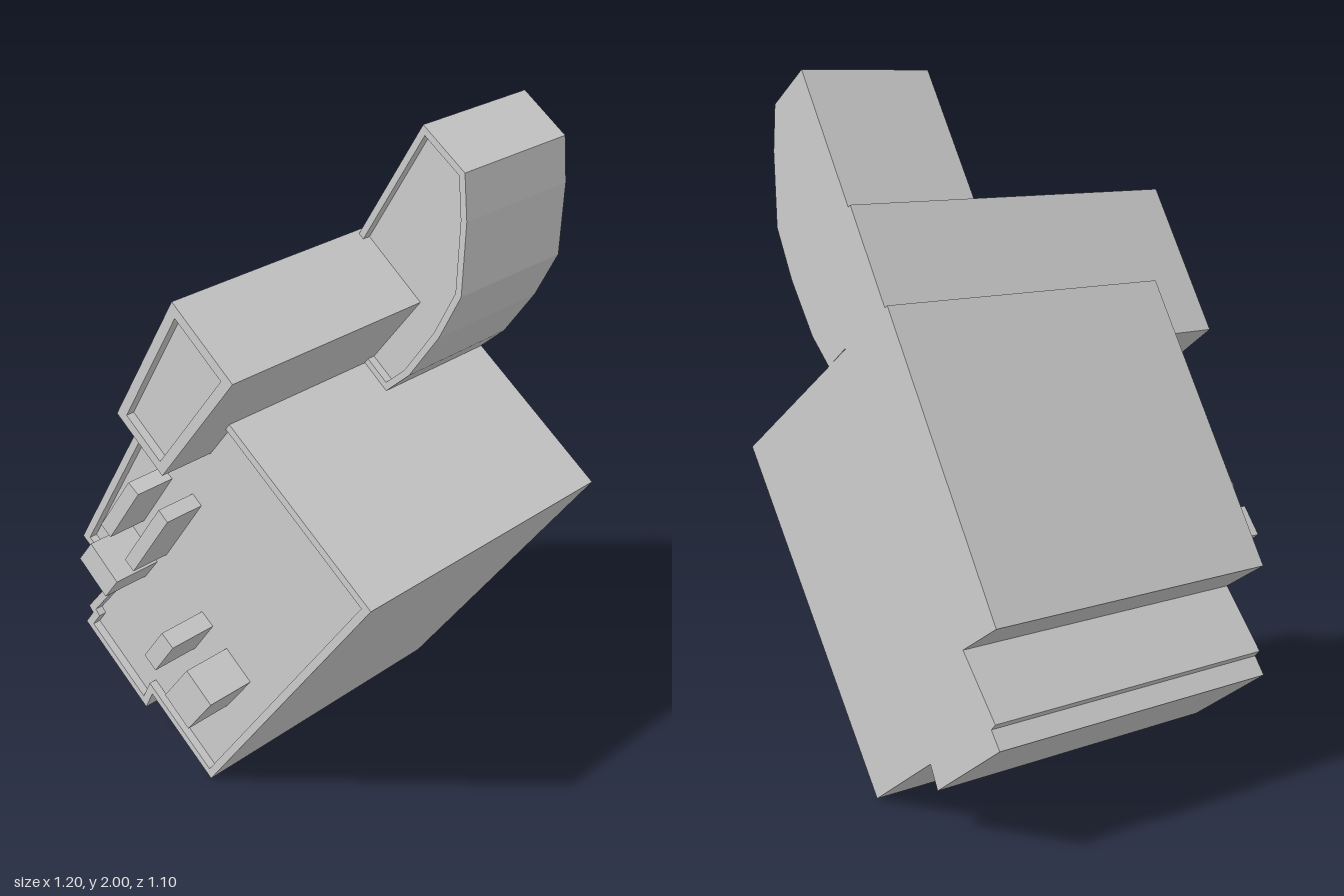
import * as THREE from 'three';

const material = new THREE.MeshStandardMaterial({ color: 0xcccccc, flatShading: true });
const BACK = -0.55;

const toVectors = (pts) => pts.map(([x, y]) => new THREE.Vector2(x, y));

// Moves every edge of a counter-clockwise outline inward by d.
function inset(pts, d) {
  const n = pts.length;
  return pts.map((p, i) => {
    const a = p.clone().sub(pts[(i + n - 1) % n]).normalize();
    const b = pts[(i + 1) % n].clone().sub(p).normalize();
    const na = new THREE.Vector2(-a.y, a.x);
    const nb = new THREE.Vector2(-b.y, b.x);
    const k = d / (1 + na.dot(nb));
    return p.clone().add(na.add(nb).multiplyScalar(k));
  });
}

function prism(name, shape, z0, z1) {
  const geometry = new THREE.ExtrudeGeometry(shape, { depth: z1 - z0, bevelEnabled: false });
  geometry.translate(0, 0, z0);
  const mesh = new THREE.Mesh(geometry, material);
  mesh.name = name;
  return mesh;
}

// Solid slab whose front face is sunk behind a thin raised rim.
function rimmedSlab(name, outline, z0, z1, rim, recess = 0.025) {
  const pts = toVectors(outline);
  const group = new THREE.Group();
  group.name = name;
  group.add(prism(name + 'Core', new THREE.Shape(pts), z0, z1 - recess));
  const ring = new THREE.Shape(pts);
  ring.holes.push(new THREE.Path(inset(pts, rim)));
  group.add(prism(name + 'Rim', ring, z1 - recess, z1));
  return group;
}

export function createModel() {
  const model = new THREE.Group();
  model.name = 'model';

  // Tilted main housing with stepped lower-left foot
  model.add(rimmedSlab('housing', [
    [-0.04, 0.003], [0.598, 0.902], [-0.125, 1.395], [-0.587, 0.63], [-0.447, 0.54],
    [-0.582, 0.378], [-0.565, 0.36], [-0.6, 0.312], [-0.33, 0.12], [-0.298, 0.185],
  ], BACK, 0.398, 0.024));

  // Long cross block running the full depth
  model.add(rimmedSlab('crossBlock', [
    [-0.024, 1.12], [0.26, 1.49], [0.043, 1.647], [-0.2, 1.245],
  ], BACK, 0.55, 0.03));

  // Curved horn at the back
  model.add(rimmedSlab('horn', [
    [0.165, 1.197], [0.247, 1.272], [0.35, 1.42], [0.422, 1.562], [0.43, 1.775],
    [0.417, 1.905], [0.272, 2.0], [0.04, 1.62], [-0.02, 1.33],
  ], BACK, -0.13, 0.02));

  // Raised controls on the front panel
  const controls = [
    ['outerBar', 0.5, [[-0.325, 0.78], [-0.19, 0.975], [-0.23, 0.998], [-0.365, 0.805]]],
    ['innerBar', 0.5, [[-0.23, 0.705], [-0.07, 0.935], [-0.105, 0.96], [-0.265, 0.73]]],
    ['squareButton', 0.528, [[-0.33, 0.587], [-0.273, 0.662], [-0.383, 0.745], [-0.44, 0.67]]],
    ['smallButton', 0.528, [[-0.12, 0.428], [-0.038, 0.545], [-0.083, 0.575], [-0.165, 0.46]]],
    ['largeButton', 0.528, [[0.015, 0.29], [0.115, 0.425], [0.018, 0.495], [-0.082, 0.36]]],
  ];
  for (const [name, front, pts] of controls) {
    model.add(prism(name, new THREE.Shape(toVectors(pts)), 0.36, front));
  }

  return model;
}
